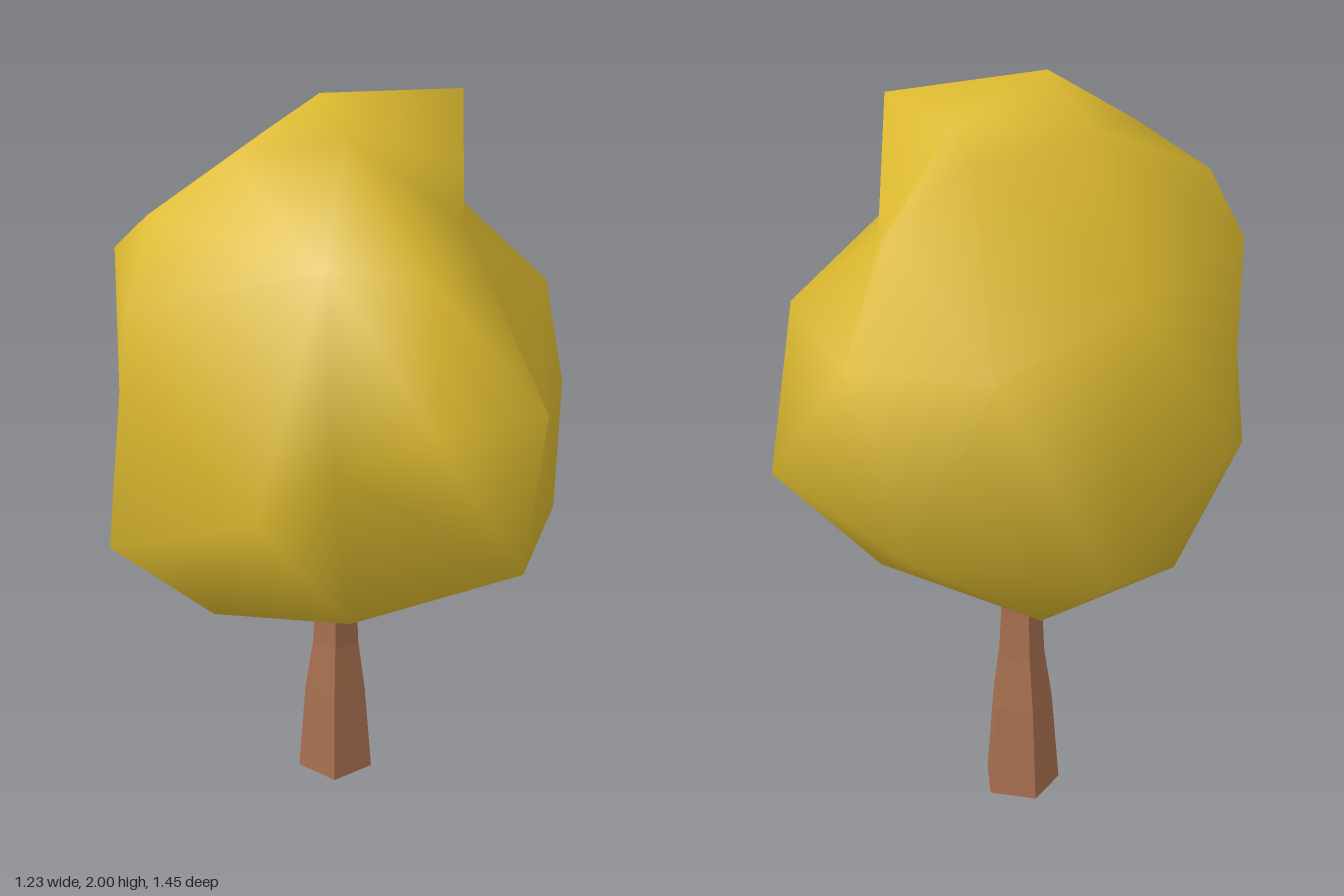
import * as THREE from 'three';
import { ConvexGeometry } from 'three/addons/geometries/ConvexGeometry.js';
import { mergeVertices } from 'three/addons/utils/BufferGeometryUtils.js';

// Corner points of the leafy crown, grouped from top to bottom
const CROWN = [
  // cap
  [-0.01, 2.0, 0.11], [0.28, 1.97, -0.2], [0.05, 1.92, -0.28], [-0.18, 1.88, 0.02],
  [0.33, 1.84, 0.05], [-0.05, 1.85, -0.38], [0.1, 1.93, 0.28], [-0.19, 1.87, 0.25],
  // shoulders, with a hollow under the cap on one side
  [0.21, 1.65, -0.37], [0.29, 1.68, -0.2], [0.34, 1.7, 0.08], [0.32, 1.62, 0.33],
  [0.1, 1.67, 0.46], [-0.37, 1.74, 0.34], [-0.52, 1.61, 0.19], [-0.38, 1.55, 0.48],
  [-0.42, 1.55, -0.25], [-0.23, 1.43, -0.62], [0.13, 1.68, -0.47], [0.17, 1.4, -0.61],
  [0.5, 1.45, -0.33],
  // widest part
  [0.61, 1.37, 0.44], [0.39, 1.36, 0.62], [0.15, 1.24, 0.59], [0, 1.15, 0.72],
  [-0.45, 1.3, 0.38], [-0.45, 0.93, 0.5], [-0.62, 1.18, -0.13], [-0.48, 0.95, -0.53],
  [-0.06, 1.01, -0.73], [0.31, 1.16, -0.72], [0.57, 1.2, -0.23], [0.58, 0.89, -0.1],
  [0.56, 1.22, 0.28], [0.57, 0.95, 0.42],
  // underside
  [0.37, 0.71, 0.1], [0.3, 0.72, -0.27], [-0.41, 0.71, 0.08], [-0.2, 0.75, 0.45],
  [0, 0.68, 0.14], [-0.17, 0.65, -0.25], [0.15, 0.76, 0.43],
];

// Joins the points over a unit sphere, then pushes each one out to its place
function crownGeometry() {
  const centre = new THREE.Vector3(0, 1.25, 0);
  const corners = CROWN.map((c) => new THREE.Vector3(...c));
  const dirs = corners.map((c) => c.clone().sub(centre).normalize());
  let geo = new ConvexGeometry(dirs);
  geo.deleteAttribute('normal');
  geo = mergeVertices(geo);
  const pos = geo.attributes.position;
  const v = new THREE.Vector3();
  for (let i = 0; i < pos.count; i++) {
    v.fromBufferAttribute(pos, i);
    let best = 0;
    dirs.forEach((d, k) => { if (d.dot(v) > dirs[best].dot(v)) best = k; });
    pos.setXYZ(i, ...corners[best].toArray());
  }
  geo.computeVertexNormals();
  return geo;
}

// Five-sided trunk, each level with its own height, radius and centre
function trunkGeometry() {
  const levels = [ // y, radius, x, z
    [0.8, 0.05, -0.02, -0.04], [0.54, 0.062, -0.01, -0.05], [0.42, 0.068, -0.012, -0.055],
    [0.27, 0.09, -0.015, -0.06], [0, 0.112, -0.015, -0.062],
  ];
  const geo = new THREE.CylinderGeometry(1, 1, 4, 5, 4, false, 0.23);
  const pos = geo.attributes.position;
  for (let i = 0; i < pos.count; i++) {
    const [y, r, x, z] = levels[Math.round(2 - pos.getY(i))];
    pos.setXYZ(i, x + pos.getX(i) * r, y, z + pos.getZ(i) * r);
  }
  geo.computeVertexNormals();
  return geo;
}

export function createModel() {
  const leaf = new THREE.MeshStandardMaterial({ color: 0xdcb92f });
  leaf.name = 'golden leaves';
  const bark = new THREE.MeshStandardMaterial({ color: 0xa87050, flatShading: true });
  bark.name = 'brown bark';

  const tree = new THREE.Group();
  tree.name = 'tree';
  const crown = new THREE.Mesh(crownGeometry(), leaf);
  crown.name = 'crown';
  const trunk = new THREE.Mesh(trunkGeometry(), bark);
  trunk.name = 'trunk';
  tree.add(crown, trunk);
  return tree;
}
